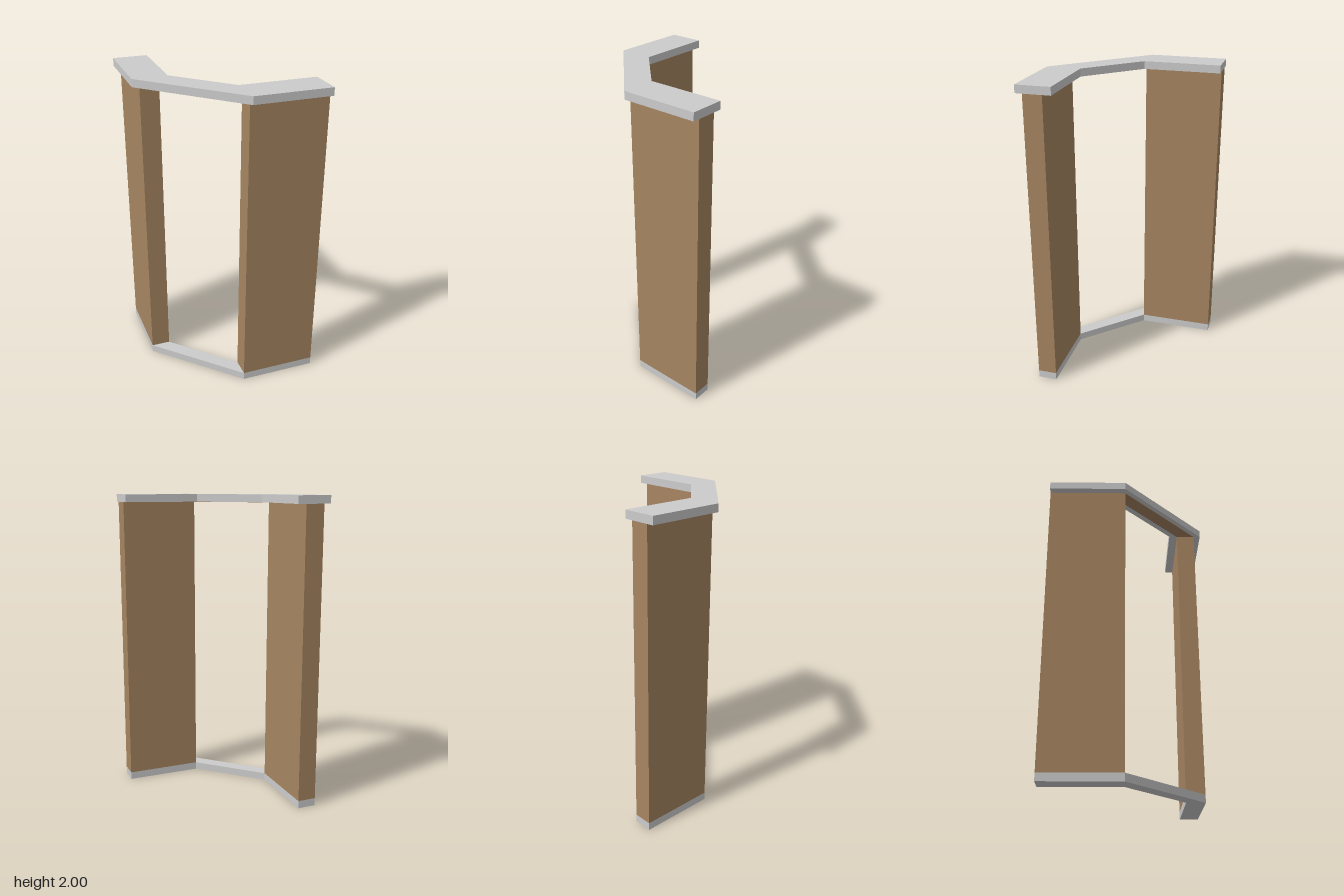
import * as THREE from 'three';

const grey = new THREE.MeshStandardMaterial({ color: 0xcccccc, flatShading: true });
const brown = new THREE.MeshStandardMaterial({ color: 0xa68561, flatShading: true });

const END = 0.522;   // free end of each wing
const BEND = 0.025;  // where the wings meet the diagonal

// Horizontal slab from an [x, z] plan outline, between two heights
function slab(name, outline, bottom, top, material) {
  const shape = new THREE.Shape(outline.map(([x, z]) => new THREE.Vector2(x, z)));
  const geometry = new THREE.ExtrudeGeometry(shape, { depth: top - bottom, bevelEnabled: false });
  geometry.rotateX(Math.PI / 2);
  geometry.translate(0, top, 0);
  const mesh = new THREE.Mesh(geometry, material);
  mesh.name = name;
  return mesh;
}

// Plan of the angled strip, symmetric about its diagonal
function stripPlan(inner, outer) {
  const half = [[END, inner], [END, outer], [BEND, outer]];
  const innerBend = [BEND, inner];
  const mirror = ([x, z]) => [-z, -x];
  return [...half, ...[...half].reverse().map(mirror), mirror(innerBend), innerBend];
}

export function createModel() {
  const model = new THREE.Group();
  model.name = 'angledPartition';

  const inner = 0.355, outer = 0.477;

  // Bottom plate and wider, overhanging top cap
  model.add(slab('bottomPlate', stripPlan(inner, outer), 0, 0.05, grey));
  model.add(slab('topCap', stripPlan(0.3, END), 1.95, 2, grey));

  // Two wall panels either side of the open diagonal
  const panel = [[BEND, inner], [END, inner], [END, outer], [BEND, outer]];
  model.add(slab('frontWall', panel, 0.05, 1.95, brown));
  model.add(slab('sideWall', panel.map(([x, z]) => [-z, -x]), 0.05, 1.95, brown));

  // Thin soffit over the opening
  const soffit = [[BEND, inner], [BEND, outer], [-outer, -BEND], [-inner, -BEND]];
  model.add(slab('openingSoffit', soffit, 1.948, 1.95, brown));

  return model;
}
